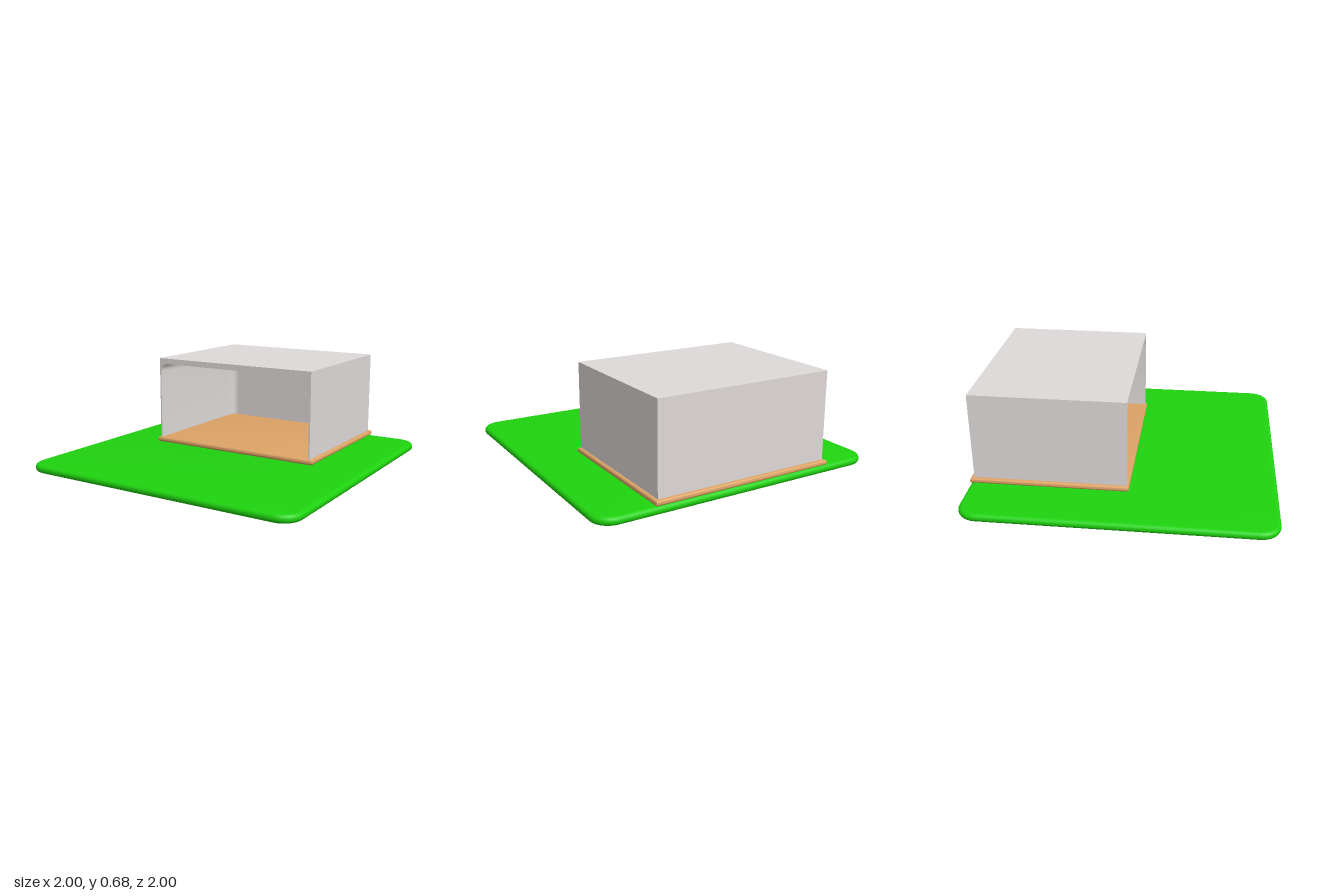
import * as THREE from 'three';
import { toCreasedNormals } from 'three/addons/utils/BufferGeometryUtils.js';

const mat = (color) => new THREE.MeshStandardMaterial({ color });

function addMesh(parent, name, geometry, material) {
  const mesh = new THREE.Mesh(geometry, material);
  mesh.name = name;
  parent.add(mesh);
  return mesh;
}

// Rectangle outline, with optional rounded corners
function rectShape(w, d, r = 0) {
  const s = new THREE.Shape();
  const x = w / 2, y = d / 2;
  if (r === 0) {
    s.moveTo(-x, -y).lineTo(x, -y).lineTo(x, y).lineTo(-x, y);
  } else {
    s.absarc(x - r, -y + r, r, -Math.PI / 2, 0);
    s.absarc(x - r, y - r, r, 0, Math.PI / 2);
    s.absarc(-x + r, y - r, r, Math.PI / 2, Math.PI);
    s.absarc(-x + r, -y + r, r, Math.PI, Math.PI * 1.5);
  }
  s.closePath();
  return s;
}

// Flat plate lying on y0 with a half-round rim
function plate(w, d, y0, height, r, bevel, curveSegments) {
  const g = new THREE.ExtrudeGeometry(
    rectShape(w - 2 * bevel, d - 2 * bevel, r ? r - bevel : 0), {
      depth: height - 2 * bevel, bevelEnabled: true, bevelSize: bevel,
      bevelThickness: bevel, bevelSegments: 5, curveSegments,
    });
  g.rotateX(-Math.PI / 2).translate(0, y0 + bevel, 0);
  return toCreasedNormals(g, 0.7);
}

const BASE = 0.09;      // floor level of the shelter
const OPEN_W = 0.605;   // half width of the opening
const OPEN_TOP = 0.64;
const OPEN_R = 0.06;

// Opening outline, left foot to right foot over the top, shrunk by inset
function archPoints(inset) {
  const w = OPEN_W - inset, top = OPEN_TOP - inset, r = OPEN_R - inset;
  const pts = [new THREE.Vector2(-w, BASE)];
  for (const side of [-1, 1]) {
    for (let i = 0; i <= 6; i++) {
      const a = (side < 0 ? Math.PI : Math.PI / 2) - (i / 6) * Math.PI / 2;
      pts.push(new THREE.Vector2(side * (w - r) + r * Math.cos(a), top - r + r * Math.sin(a)));
    }
  }
  pts.push(new THREE.Vector2(w, BASE));
  return pts;
}

// Inner walls and ceiling, curving into the back wall
function cavityGeometry(zFront, zBack, round) {
  const rings = [[0, zFront]];
  for (let i = 0; i <= 6; i++) {
    const a = (i / 6) * Math.PI / 2;
    rings.push([round * (1 - Math.cos(a)), zBack + round * (1 - Math.sin(a))]);
  }
  const pos = [], index = [];
  let n = 0;
  rings.forEach(([inset, z], j) => {
    const pts = archPoints(inset);
    n = pts.length;
    pts.forEach((p) => pos.push(p.x, p.y, z));
    if (j === 0) return;
    for (let i = 0; i < n - 1; i++) {
      const a = (j - 1) * n + i, c = j * n + i;
      index.push(a, c, a + 1, a + 1, c, c + 1);
    }
  });
  const g = new THREE.BufferGeometry();
  g.setAttribute('position', new THREE.Float32BufferAttribute(pos, 3));
  g.setIndex(index);
  return toCreasedNormals(g, 0.7);
}

export function createModel() {
  const model = new THREE.Group();
  model.name = 'openShelter';
  const green = mat(0x1fd30f), tan = mat(0xdca366), wall = mat(0xded9d8);

  // Ground and floor
  addMesh(model, 'lawn', plate(2, 2, 0, 0.053, 0.13, 0.025, 4), green);
  addMesh(model, 'floorSlab', plate(1.275, 1.045, 0.053, BASE - 0.053, 0, 0.017, 1), tan)
    .position.z = -0.4775;

  // Shelter
  const shelter = new THREE.Group();
  shelter.name = 'shelter';
  model.add(shelter);
  const halfW = 0.615, top = 0.68, zFront = 0.035, zBack = -0.975;

  // Outer walls and roof: a box without its bottom and front faces
  const outer = new THREE.BoxGeometry(2 * halfW, top - BASE, zFront - zBack);
  const idx = Array.from(outer.index.array);
  outer.setIndex([...idx.slice(0, 18), ...idx.slice(30)]);
  outer.clearGroups();
  outer.translate(0, (top + BASE) / 2, (zFront + zBack) / 2);
  addMesh(shelter, 'outerWallsAndRoof', outer, wall);

  // Front frame around the opening
  const frame = new THREE.Shape([
    new THREE.Vector2(halfW, BASE), new THREE.Vector2(halfW, top),
    new THREE.Vector2(-halfW, top), new THREE.Vector2(-halfW, BASE),
    ...archPoints(0),
  ]);
  addMesh(shelter, 'frontFrame', new THREE.ShapeGeometry(frame), wall).position.z = zFront;

  // Interior
  const innerBack = -0.955, round = 0.05;
  addMesh(shelter, 'innerWalls', cavityGeometry(zFront, innerBack, round), wall);
  addMesh(shelter, 'innerBackWall',
    new THREE.ShapeGeometry(new THREE.Shape(archPoints(round))), wall).position.z = innerBack;

  return model;
}
